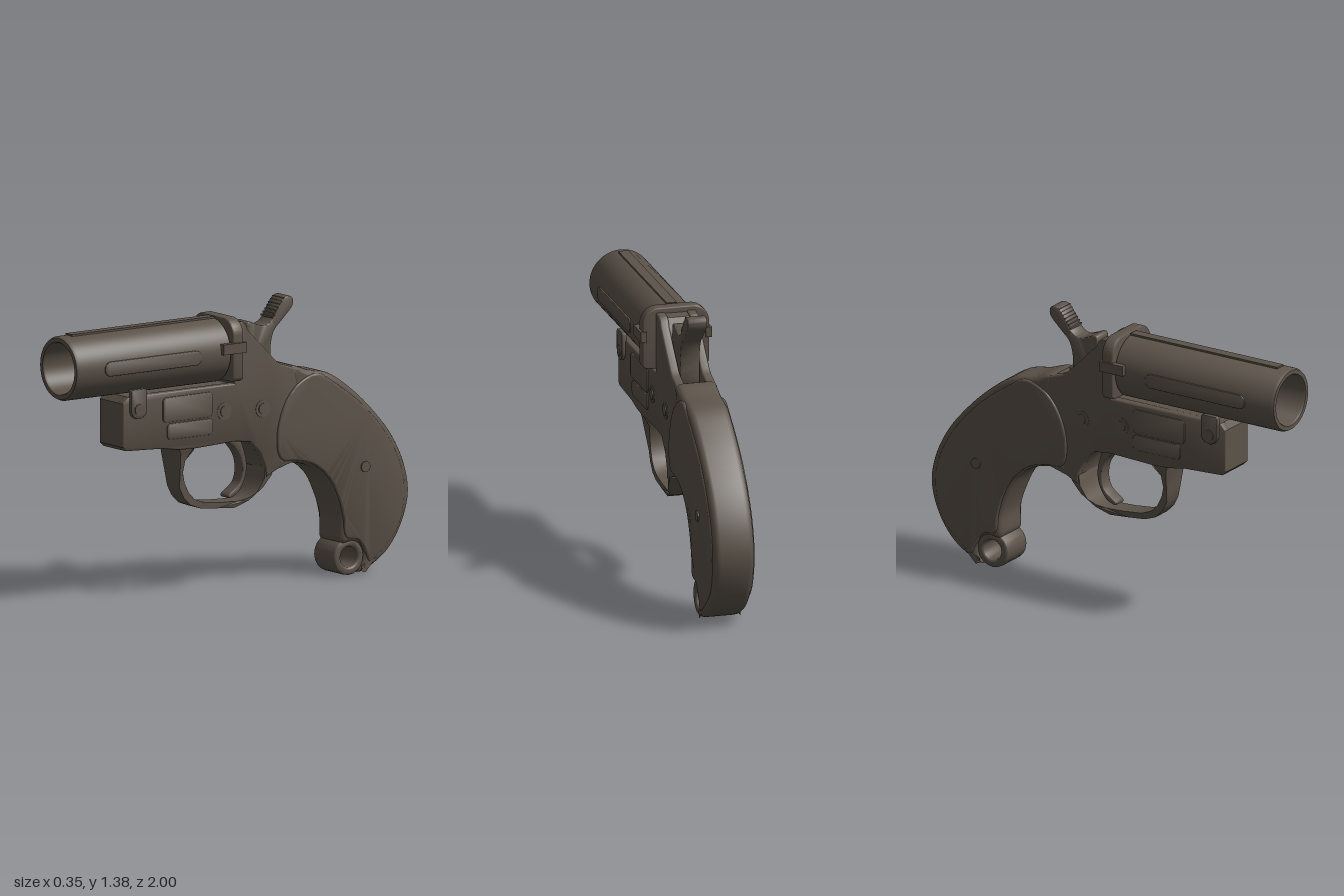
import * as THREE from 'three';
import { toCreasedNormals } from 'three/addons/utils/BufferGeometryUtils.js';

export function createModel() {
  const root = new THREE.Group();
  const gunmetal = new THREE.MeshStandardMaterial({ color: 0x5c5349 });
  gunmetal.name = 'gunmetal';

  const add = (name, geo, crease = 0.6) => {
    const mesh = new THREE.Mesh(toCreasedNormals(geo, crease), gunmetal);
    mesh.name = name;
    root.add(mesh);
    return mesh;
  };
  // Outlines are lists of [z, y]
  const poly = (pts) => new THREE.Shape(pts.map((p) => new THREE.Vector2(p[0], p[1])));
  const smooth = (pts, n = 90) => {
    const c = new THREE.CatmullRomCurve3(pts.map((p) => new THREE.Vector3(p[0], p[1], 0)), true, 'centripetal');
    const s = c.getPoints(n);
    s.pop();
    return new THREE.Shape(s.map((p) => new THREE.Vector2(p.x, p.y)));
  };
  const rounded = (x0, y0, x1, y1, rb, rt = rb) => {
    const s = new THREE.Shape();
    s.absarc(x1 - rb, y0 + rb, rb, -Math.PI / 2, 0);
    s.absarc(x1 - rt, y1 - rt, rt, 0, Math.PI / 2);
    s.absarc(x0 + rt, y1 - rt, rt, Math.PI / 2, Math.PI);
    s.absarc(x0 + rb, y0 + rb, rb, Math.PI, Math.PI * 1.5);
    return s;
  };
  // Extrudes a side outline across x, centred on x = cx
  const slab = (shape, half, bevel = 0, cx = 0) => {
    const depth = 2 * (half - bevel);
    const g = new THREE.ExtrudeGeometry(shape, {
      depth, curveSegments: 10, bevelEnabled: bevel > 0, bevelThickness: bevel,
      bevelSize: bevel, bevelOffset: -bevel, bevelSegments: 4,
    });
    return g.translate(0, 0, -depth / 2).rotateY(-Math.PI / 2).translate(cx, 0, 0);
  };
  const disc = (r, x0, x1, y, z) =>
    new THREE.CylinderGeometry(r, r, Math.abs(x1 - x0), 28).rotateZ(Math.PI / 2).translate((x0 + x1) / 2, y, z);
  const box = (w, h, d, x, y, z) => new THREE.BoxGeometry(w, h, d).translate(x, y, z);

  // Barrel with open bore
  const profile = [[0, 0.08], [0.14, 0.08], [0.14, 0.1], [0.155, 0.1], [0.155, 0.985], [0.148, 1],
    [0.128, 1], [0.122, 0.99], [0.122, 0.12], [0.02, 0.12], [0.02, 0.105], [0, 0.105]];
  add('barrel', new THREE.LatheGeometry(profile.map((p) => new THREE.Vector2(p[0], p[1])), 64)
    .rotateX(Math.PI / 2).translate(0, 1.16, 0));
  add('sightRib', box(0.05, 0.03, 0.84, 0, 1.307, 0.52));

  // Breech collar
  const collar = new THREE.ExtrudeGeometry(rounded(-0.157, 1.028, 0.157, 1.315, 0.022, 0.075), {
    depth: 0.046, bevelThickness: 0.008, bevelSize: 0.008, bevelSegments: 3, curveSegments: 10,
  }).translate(0, 0, 0.038);
  add('breechCollar', collar);

  // Receiver: two cheeks round a core that leaves a slot for the hammer
  const lower = [[0.66, 1], [0.69, 0.97], [0.69, 0.76], [0.67, 0.74], [0.46, 0.73], [0.37, 0.715], [0.28, 0.71],
    [0.03, 0.72], [-0.06, 0.71], [-0.12, 0.65], [-0.15, 0.58], [-0.155, 0.53], [-0.22, 0.56], [-0.31, 0.585], [-0.37, 0.65]];
  const cheek = poly([...lower, [-0.4, 1.0], [-0.36, 1.025], [-0.29, 1.05], [-0.24, 1.065], [-0.21, 1.085],
    [-0.075, 1.22], [-0.045, 1.25], [-0.035, 1.275], [-0.015, 1.293], [0.035, 1.3], [0.035, 1]]);
  const core = poly([...lower, [-0.4, 0.97], [-0.36, 1.015], [-0.31, 1.03], [-0.29, 0.98], [-0.08, 0.98],
    [-0.07, 1.2], [-0.045, 1.24], [-0.015, 1.285], [0.035, 1.295], [0.035, 0.995]]);
  add('receiverCore', slab(core, 0.06));
  for (const s of [-1, 1]) add('receiverCheek', slab(cheek, 0.0225, 0.008, s * 0.0755));

  // Grip frame, hollowed at the toe for the lanyard lug
  add('gripFrame', slab(smooth([[-0.3, 1.045], [-0.42, 1.015], [-0.53, 0.99], [-0.665, 0.9], [-0.795, 0.78],
    [-0.905, 0.645], [-0.975, 0.5], [-0.997, 0.365], [-0.957, 0.22], [-0.875, 0.1], [-0.77, 0.03], [-0.7, 0.01],
    [-0.72, 0.06], [-0.718, 0.12], [-0.675, 0.16], [-0.6, 0.16], [-0.592, 0.28], [-0.555, 0.39], [-0.5, 0.49],
    [-0.42, 0.55], [-0.31, 0.578], [-0.22, 0.565], [-0.23, 0.7], [-0.31, 0.93]], 130), 0.101, 0.032), 0.8);

  // Lanyard lug
  const lug = new THREE.Shape();
  lug.absarc(-0.65, 0.09, 0.09, 0, Math.PI * 2);
  lug.holes.push(new THREE.Path().absarc(-0.65, 0.088, 0.05, 0, Math.PI * 2, true));
  add('lanyardLug', slab(lug, 0.085, 0.012));

  // Grip scales and their screws
  const scale = smooth([[-0.222, 0.63], [-0.215, 0.74], [-0.26, 0.875], [-0.34, 0.965], [-0.45, 1.0], [-0.555, 0.94],
    [-0.715, 0.82], [-0.85, 0.67], [-0.937, 0.51], [-0.962, 0.365], [-0.92, 0.2], [-0.81, 0.09], [-0.755, 0.058],
    [-0.735, 0.1], [-0.69, 0.17], [-0.618, 0.19], [-0.605, 0.28], [-0.572, 0.39], [-0.515, 0.49], [-0.42, 0.565],
    [-0.315, 0.592], [-0.25, 0.598]], 130);
  for (const s of [-1, 1]) {
    add('gripScale', slab(scale, 0.02, 0.01, s * 0.088));
    add('gripScrew', disc(0.026, s * 0.09, s * 0.115, 0.52, -0.725));
  }

  // Trigger guard, flaring where it meets the receiver and the grip
  const guard = slab(poly([[0.36, 0.73], [0.34, 0.69], [0.337, 0.58], [0.325, 0.52], [0.3, 0.47], [0.26, 0.43],
    [0.2, 0.408], [0.1, 0.398], [0, 0.39], [-0.075, 0.42], [-0.14, 0.48], [-0.19, 0.54], [-0.17, 0.6],
    [-0.15, 0.57], [-0.145, 0.52], [-0.11, 0.455], [-0.07, 0.43], [-0.02, 0.42], [0.08, 0.424], [0.18, 0.435],
    [0.235, 0.455], [0.27, 0.49], [0.295, 0.54], [0.305, 0.59], [0.295, 0.65], [0.27, 0.7], [0.26, 0.73]]), 0.05);
  const gp = guard.attributes.position;
  for (let i = 0; i < gp.count; i++) {
    const front = THREE.MathUtils.smoothstep(gp.getY(i), 0.63, 0.72);
    const rear = THREE.MathUtils.smoothstep(-gp.getZ(i), 0.02, 0.17);
    gp.setX(i, gp.getX(i) * (1 + 0.85 * Math.max(front, rear)));
  }
  add('triggerGuard', guard);

  add('trigger', slab(smooth([[0.06, 0.73], [0, 0.69], [-0.045, 0.63], [-0.058, 0.56], [-0.04, 0.5], [0.025, 0.447],
    [0.02, 0.436], [-0.03, 0.455], [-0.07, 0.515], [-0.083, 0.58], [-0.07, 0.65], [-0.03, 0.73]], 60), 0.035, 0.006));

  // Hammer with serrated thumb spur
  add('hammer', slab(smooth([[-0.075, 1.27], [-0.09, 1.278], [-0.13, 1.263], [-0.18, 1.25], [-0.225, 1.276],
    [-0.262, 1.335], [-0.3, 1.376], [-0.34, 1.372], [-0.345, 1.335], [-0.285, 1.27], [-0.235, 1.22], [-0.215, 1.15],
    [-0.205, 1.0], [-0.12, 0.99], [-0.08, 1.15]], 80), 0.048, 0.006));
  for (let i = 0; i < 7; i++) {
    const t = i / 6;
    add('spurSerration', box(0.094, 0.009, 0.012, 0, 1.285 + 0.083 * t, -0.229 - 0.067 * t));
  }

  // Side fittings, mirrored
  for (const s of [-1, 1]) {
    add('barrelSidePanel', slab(rounded(0.27, 1.125, 0.84, 1.195, 0.034), 0.009, 0.003, s * 0.151));
    add('breechLatch', box(0.03, 0.05, 0.135, s * 0.16, 1.185, 0.0875));
    add('latchTab', box(0.02, 0.05, 0.08, s * 0.165, 1.185, 0.06));
    add('hingeLug', slab(rounded(0.562, 0.892, 0.655, 1.035, 0.045, 0.012), 0.012, 0.003, s * 0.103));
    add('hingePin', disc(0.027, s * 0.1, s * 0.119, 0.937, 0.608));
    add('upperSidePanel', slab(rounded(0.165, 0.855, 0.46, 0.975, 0.022), 0.006, 0.003, s * 0.098));
    add('lowerSidePanel', slab(rounded(0.165, 0.77, 0.435, 0.847, 0.022), 0.006, 0.003, s * 0.098));
    for (const [z, y] of [[0.096, 0.873], [-0.13, 0.862]]) {
      add('pinCollar', disc(0.042, s * 0.09, s * 0.1, y, z));
      add('framePin', disc(0.026, s * 0.09, s * 0.105, y, z));
    }
  }
  return root;
}
